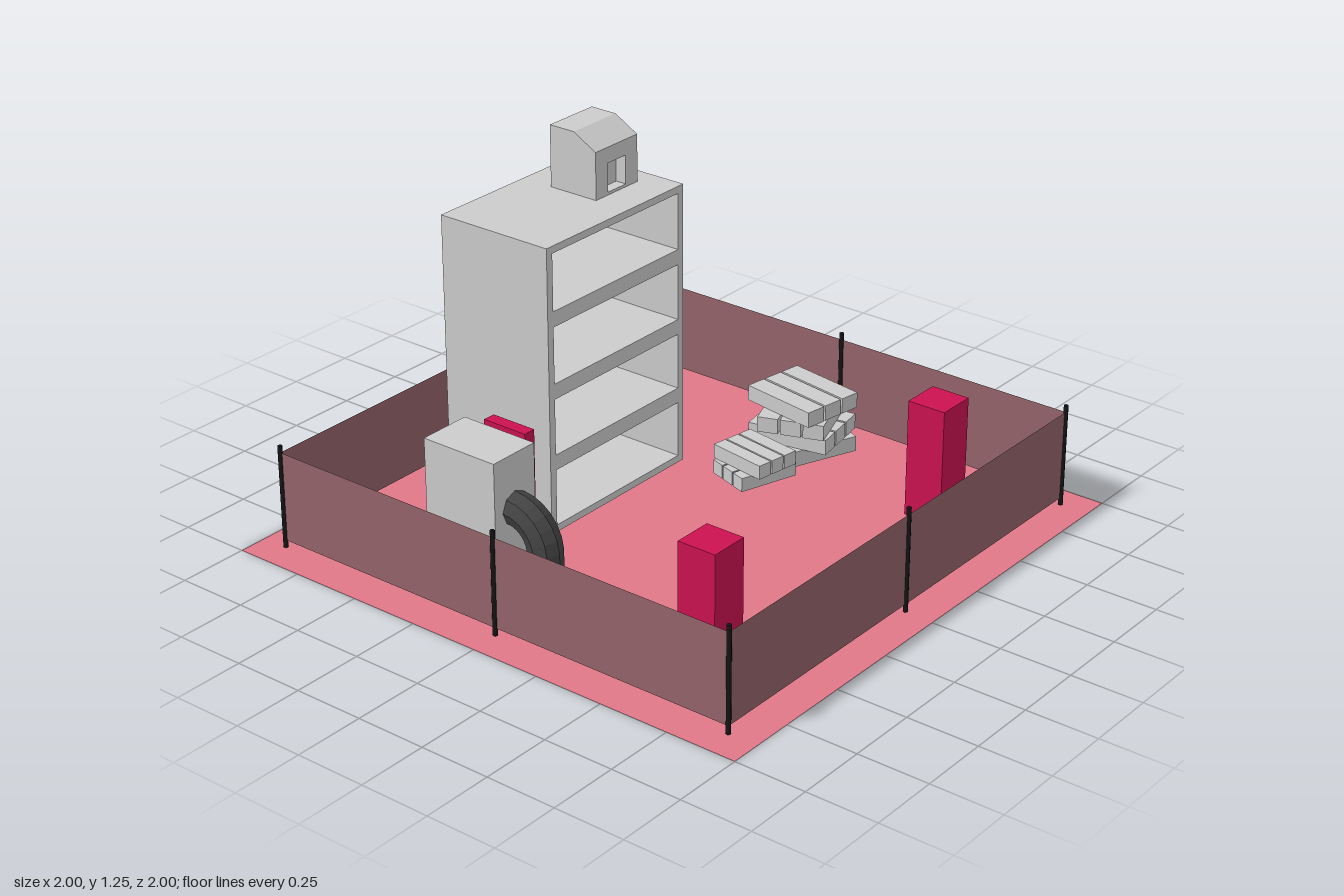
import * as THREE from 'three';

const mat = (color, extra = {}) => new THREE.MeshStandardMaterial({ color, ...extra });

export function createModel() {
  const root = new THREE.Group();
  const grey = mat(0xcccccc);
  const red = mat(0xcc1250);
  const black = mat(0x161616);
  const hose = mat(0x444444, { flatShading: true, side: THREE.DoubleSide });
  const fence = mat(0x936469, { side: THREE.DoubleSide });
  const floor = mat(0xe07888, { side: THREE.DoubleSide });

  const add = (name, geometry, material, parent = root) => {
    const mesh = new THREE.Mesh(geometry, material);
    mesh.name = name;
    parent.add(mesh);
    return mesh;
  };
  // Box given by its limits on each axis
  const box = (name, [x0, x1], [y0, y1], [z0, z1], material, parent) => {
    const mesh = add(name, new THREE.BoxGeometry(x1 - x0, y1 - y0, z1 - z0), material, parent);
    mesh.position.set((x0 + x1) / 2, (y0 + y1) / 2, (z0 + z1) / 2);
    return mesh;
  };
  const group = (name) => {
    const g = new THREE.Group();
    g.name = name;
    root.add(g);
    return g;
  };

  // Ground sheet
  add('ground', new THREE.PlaneGeometry(2, 2).rotateX(-Math.PI / 2), floor);

  // Fence: four thin panels, with posts at corners and mid-sides
  const yard = group('fence');
  for (let i = 0; i < 4; i++) {
    const side = new THREE.Group();
    side.name = 'fenceSide';
    side.rotation.y = i * Math.PI / 2;
    yard.add(side);
    add('fencePanel', new THREE.PlaneGeometry(1.8, 0.315), fence, side).position.set(0, 0.1875, 0.9);
    for (const x of [0, 0.9]) {
      add('fencePost', new THREE.CylinderGeometry(0.008, 0.008, 0.365, 8), black, side)
        .position.set(x, 0.1875, 0.9);
    }
  }

  // Square pillars
  for (const [x, z] of [[0.6, 0.6], [0.6, -0.6], [-0.6, -0.6]]) {
    box('pillar', [x - 0.07, x + 0.07], [0.001, 0.415], [z - 0.07, z + 0.07], red);
  }

  // Shelf unit, open on both long sides
  const unit = group('shelfUnit');
  const ux = [-0.69, -0.25];
  for (const s of [-1, 1]) {
    const z = s * 0.3275;
    box('unitSide', ux, [0.03, 1.035], [z - 0.0135, z + 0.0135], grey, unit);
  }
  for (const y of [0.03, 1.01]) box('unitEnd', ux, [y, y + 0.025], [-0.315, 0.315], grey, unit);
  for (const y of [0.281, 0.533, 0.785]) {
    box('shelf', ux, [y - 0.027, y + 0.027], [-0.315, 0.315], grey, unit);
  }

  // Small housing on the roof: sloped profile, niche in its +x face
  const housing = group('roofHousing');
  const full = [[-0.57, 1.035], [-0.38, 1.035], [-0.38, 1.2], [-0.47, 1.25], [-0.57, 1.25]];
  const notched = [[-0.57, 1.035], [-0.38, 1.035], [-0.38, 1.045], [-0.42, 1.045], [-0.42, 1.145],
    [-0.38, 1.145], [-0.38, 1.2], [-0.47, 1.25], [-0.57, 1.25]];
  for (const [points, z0, z1] of [[full, -0.265, -0.205], [notched, -0.205, -0.115], [full, -0.115, -0.055]]) {
    const shape = new THREE.Shape(points.map(([x, y]) => new THREE.Vector2(x, y)));
    const slab = new THREE.ExtrudeGeometry(shape, { depth: z1 - z0, bevelEnabled: false });
    add('housingSlab', slab, grey, housing).position.z = z0;
  }

  // Twin looped pipes behind the shelf unit
  for (const x of [-0.425, -0.35]) {
    const pipe = add('backPipe', new THREE.TorusGeometry(0.052, 0.025, 8, 10, Math.PI), hose);
    pipe.rotation.set(0, Math.PI / 2, 0);
    pipe.geometry.rotateZ(-Math.PI / 2);
    pipe.position.set(x, 0.325, -0.34);
  }

  // Machine cabinet, its hose and the panel behind it
  box('machine', [-0.455, -0.165], [0.03, 0.46], [0.515, 0.705], grey);
  box('panel', [-0.395, -0.225], [0.03, 0.46], [0.445, 0.49], red);
  const hosePath = new THREE.CurvePath();
  const v = (x, y) => new THREE.Vector3(x, y, 0.61);
  const k = 0.067;
  hosePath.add(new THREE.CubicBezierCurve3(v(-0.165, 0.272), v(-0.165 + k, 0.272), v(-0.043, 0.15 + k), v(-0.043, 0.15)));
  hosePath.add(new THREE.LineCurve3(v(-0.043, 0.15), v(-0.043, 0.04)));
  add('machineHose', new THREE.TubeGeometry(hosePath, 10, 0.058, 8), hose);

  // Stacks of planks, each layer turned against the one below
  const stack = (cx, cz, length, width, height, angles) => {
    const pile = group('plankStack');
    pile.position.set(cx, 0.03, cz);
    angles.forEach((deg, i) => {
      const layer = new THREE.Group();
      layer.name = 'plankLayer';
      layer.position.y = height * (i + 0.5);
      layer.rotation.y = THREE.MathUtils.degToRad(deg);
      pile.add(layer);
      for (const n of [-1, 0, 1]) {
        add('plank', new THREE.BoxGeometry(length, height, width * 0.9), grey, layer).position.z = n * width;
      }
    });
  };
  stack(0.01, -0.665, 0.29, 0.08, 0.055, [68, 10, 110, -9]);
  stack(0.005, -0.405, 0.22, 0.058, 0.05, [72, -9]);
  return root;
}
